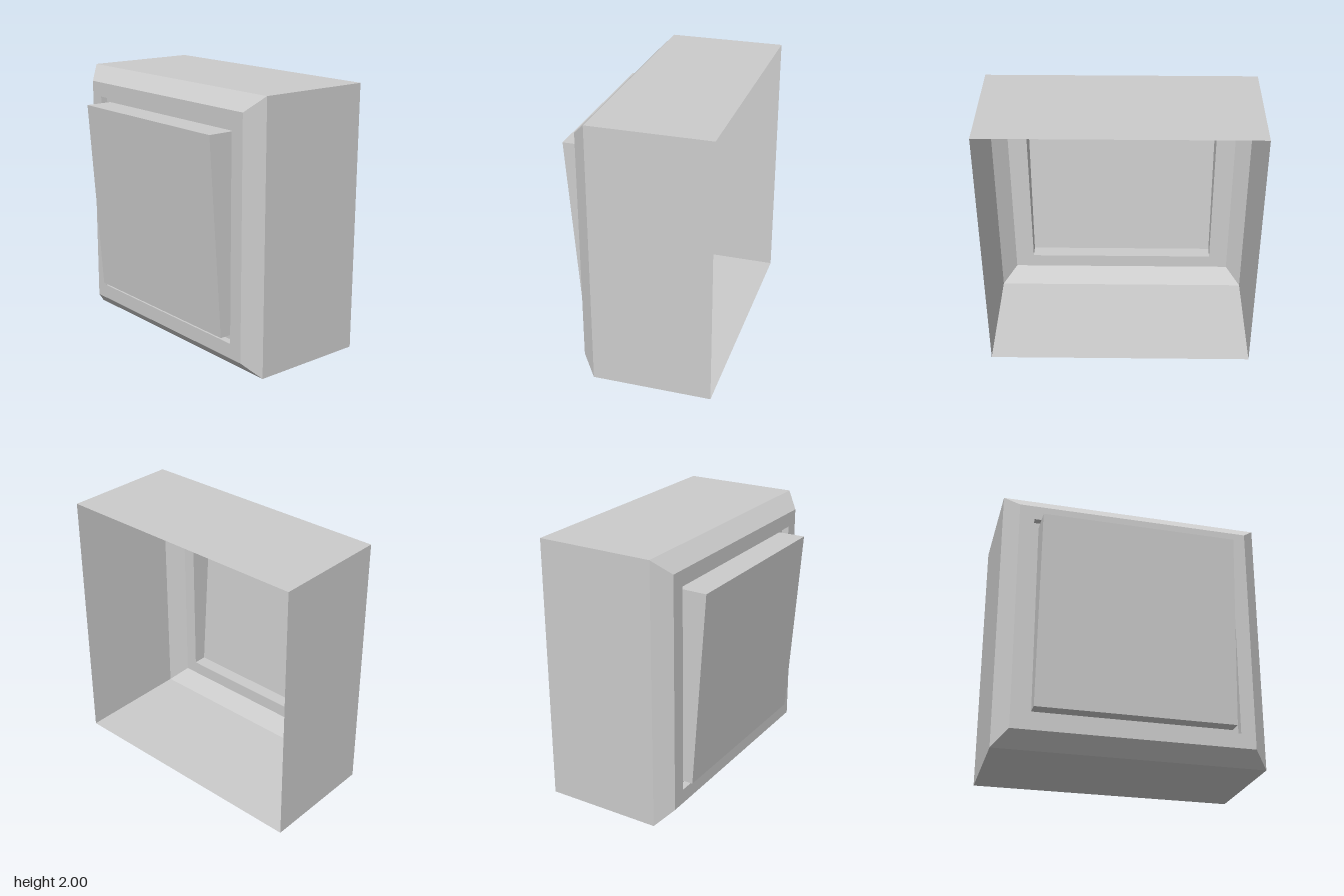
import * as THREE from 'three';

const material = new THREE.MeshStandardMaterial({
  color: 0xcccccc, flatShading: true, side: THREE.DoubleSide,
});

// Square outline centred on y = 1: half width, z of lower edge, z of upper edge
function square(half, zLow, zHigh = zLow) {
  return [[-1, -1], [1, -1], [1, 1], [-1, 1]].map(([sx, sy]) =>
    [sx * half, 1 + sy * half, sy < 0 ? zLow : zHigh]);
}

// Joins successive square outlines (back to front, or outside to inside);
// optionally closes the last one
function shell(name, sections, capped = false) {
  const positions = [];
  const quad = (a, b, c, d) => positions.push(...a, ...b, ...c, ...a, ...c, ...d);
  for (let s = 0; s < sections.length - 1; s++) {
    for (let i = 0; i < 4; i++) {
      const j = (i + 1) % 4;
      quad(sections[s][i], sections[s][j], sections[s + 1][j], sections[s + 1][i]);
    }
  }
  if (capped) quad(...sections[sections.length - 1]);
  const geometry = new THREE.BufferGeometry();
  geometry.setAttribute('position', new THREE.Float32BufferAttribute(positions, 3));
  geometry.computeVertexNormals();
  const mesh = new THREE.Mesh(geometry, material);
  mesh.name = name;
  return mesh;
}

export function createModel() {
  const group = new THREE.Group();
  group.name = 'rockerSwitch';

  const back = square(1, -0.578);
  const shoulder = square(1, 0.311);
  const plateEdge = square(0.889, 0.422);
  const opening = square(0.778, 0.422);
  const grooveOuter = square(0.778, 0.367);
  const grooveInner = square(0.735, 0.367);
  const rockerFace = square(0.735, 0.472, 0.578);

  group.add(
    shell('housingWalls', [back, shoulder]), // open at the back
    shell('bevel', [shoulder, plateEdge]),
    shell('frontFrame', [plateEdge, opening]),
    shell('groove', [opening, grooveOuter, grooveInner]),
    shell('rocker', [grooveInner, rockerFace], true), // hollow, sloping face
  );
  return group;
}
